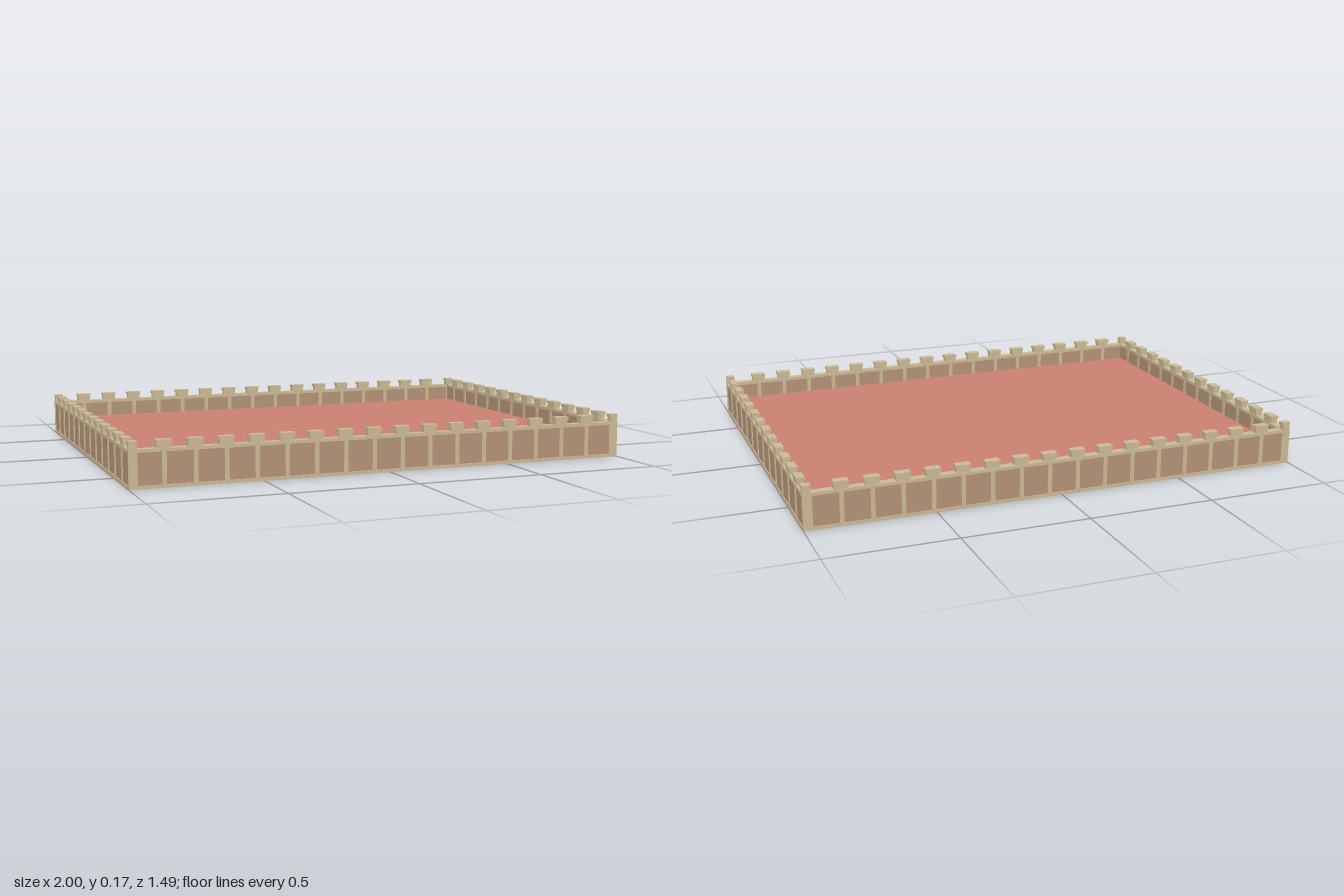
import * as THREE from 'three';

const stone = new THREE.MeshStandardMaterial({ color: 0xcbb994, flatShading: true });
const panelMat = new THREE.MeshStandardMaterial({ color: 0xb39277, flatShading: true });
const floorMat = new THREE.MeshStandardMaterial({ color: 0xc98070, flatShading: true, side: THREE.DoubleSide });

const T = 0.033; // wall thickness
const HALF_Z = 0.746;

function box(parent, name, mat, x0, x1, y0, y1, depth) {
  const mesh = new THREE.Mesh(new THREE.BoxGeometry(x1 - x0, y1 - y0, depth), mat);
  mesh.position.set((x0 + x1) / 2, (y0 + y1) / 2, 0);
  mesh.name = name;
  parent.add(mesh);
}

// A wall along local x from 0 to bays * pitch, centred on z = 0
function makeWall(name, bays, pitch, endMerlons) {
  const wall = new THREE.Group();
  wall.name = name;
  const length = bays * pitch;

  // Recessed panel core between bottom and top rails
  box(wall, 'panels', panelMat, 0.002, length - 0.002, 0.01, 0.132, T - 0.007);
  box(wall, 'bottomRail', stone, 0, length, 0, 0.012, T);
  box(wall, 'topRail', stone, 0, length, 0.13, 0.142, T);

  for (let i = 0; i <= bays; i++) {
    const x = i * pitch;
    const span = (w) => [Math.max(0, x - w), Math.min(length, x + w)];
    box(wall, 'post', stone, ...span(0.0085), 0.012, 0.13, T);

    // Merlon with a slightly wider cap
    if (endMerlons || (i > 0 && i < bays)) {
      box(wall, 'merlon', stone, ...span(0.0265), 0.142, 0.16, T - 0.005);
      box(wall, 'merlonCap', stone, ...span(0.029), 0.16, 0.172, T);
    }
  }
  return wall;
}

export function createModel() {
  const group = new THREE.Group();
  group.name = 'walledCourtyard';

  // Front and back walls, running between the side walls
  for (const s of [1, -1]) {
    const wall = makeWall(s > 0 ? 'frontWall' : 'backWall', 17, 0.1152, false);
    wall.position.set(-0.986, 0, s * (HALF_Z - T / 2));
    group.add(wall);
  }

  // Side walls over the full depth, ending in half merlons at the corners
  for (const s of [1, -1]) {
    const wall = makeWall(s > 0 ? 'leftWall' : 'rightWall', 13, (2 * HALF_Z) / 13, true);
    wall.rotation.y = -Math.PI / 2;
    wall.position.set(s * (1 - T / 2), 0, -HALF_Z);
    group.add(wall);
  }

  // Raised floor sheet
  const floor = new THREE.Mesh(new THREE.PlaneGeometry(1.945, 1.435), floorMat);
  floor.rotation.x = -Math.PI / 2;
  floor.position.y = 0.07;
  floor.name = 'floor';
  group.add(floor);

  return group;
}
